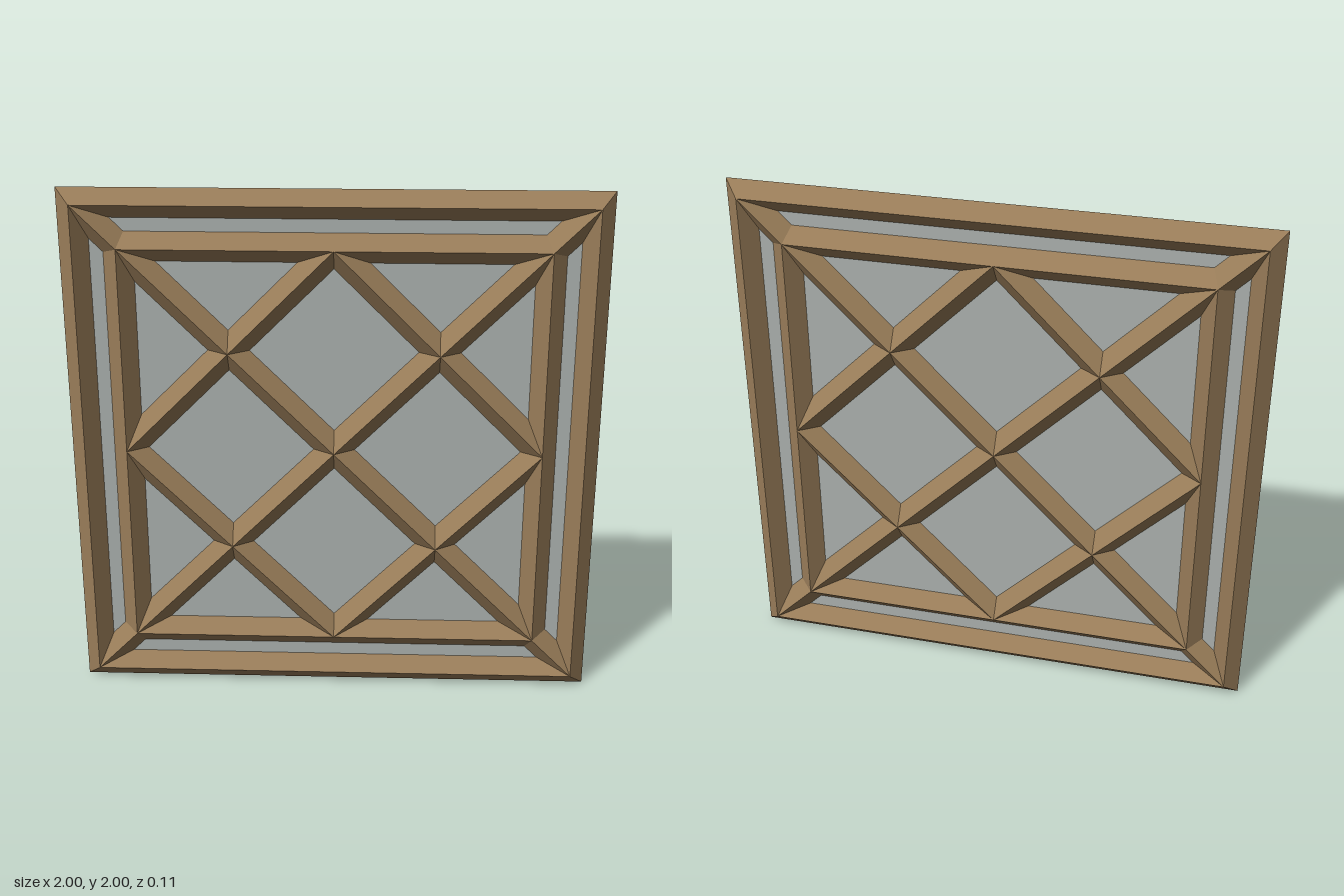
import * as THREE from 'three';

const W = 0.055;     // half width and half depth of every diamond-section bar
const OUTER = 0.945; // ridge line of the outer frame
const INNER = 0.785; // ridge line of the inner frame

// Give every face its own flat normal
function faceted(geometry) {
  const g = geometry.toNonIndexed();
  g.computeVertexNormals();
  return g;
}

// Mitred square frame: a diamond profile turned in four steps
function frameGeometry(ridge) {
  const k = Math.SQRT2;
  const profile = [[0, -W], [W, 0], [0, W], [-W, 0], [0, -W]]
    .map(([r, d]) => new THREE.Vector2((ridge + r) * k, d));
  const g = new THREE.LatheGeometry(profile, 4);
  g.rotateY(Math.PI / 4);
  g.rotateX(Math.PI / 2);
  return faceted(g);
}

// Straight diamond-section bar between two points of the panel plane
function barGeometry([x1, y1], [x2, y2]) {
  const dx = x2 - x1, dy = y2 - y1;
  const g = new THREE.CylinderGeometry(W, W, Math.hypot(dx, dy), 4);
  g.rotateZ(Math.atan2(dy, dx) - Math.PI / 2);
  g.translate((x1 + x2) / 2, (y1 + y2) / 2, 0);
  return faceted(g);
}

export function createModel() {
  const wood = new THREE.MeshStandardMaterial({ color: 0x997d59 });
  wood.name = 'wood';
  const glass = new THREE.MeshStandardMaterial({ color: 0xacb2af, side: THREE.DoubleSide });
  glass.name = 'glass';

  const model = new THREE.Group();
  model.name = 'latticeWindow';
  const add = (name, geometry, material) => {
    const mesh = new THREE.Mesh(geometry, material);
    mesh.name = name;
    mesh.position.y = 1;
    model.add(mesh);
  };

  // Frames
  add('outerFrame', frameGeometry(OUTER), wood);
  add('innerFrame', frameGeometry(INNER), wood);

  // Corner-to-corner bars
  for (const s of [1, -1]) {
    add('diagonalBar', barGeometry([-OUTER, -s * OUTER], [OUTER, s * OUTER]), wood);
  }

  // Diamond joining the middles of the inner frame
  for (const sx of [1, -1]) {
    for (const sy of [1, -1]) {
      add('diamondBar', barGeometry([sx * INNER, 0], [0, sy * INNER]), wood);
    }
  }

  // Pane in the middle plane
  add('pane', new THREE.PlaneGeometry(2 * OUTER, 2 * OUTER), glass);

  return model;
}
